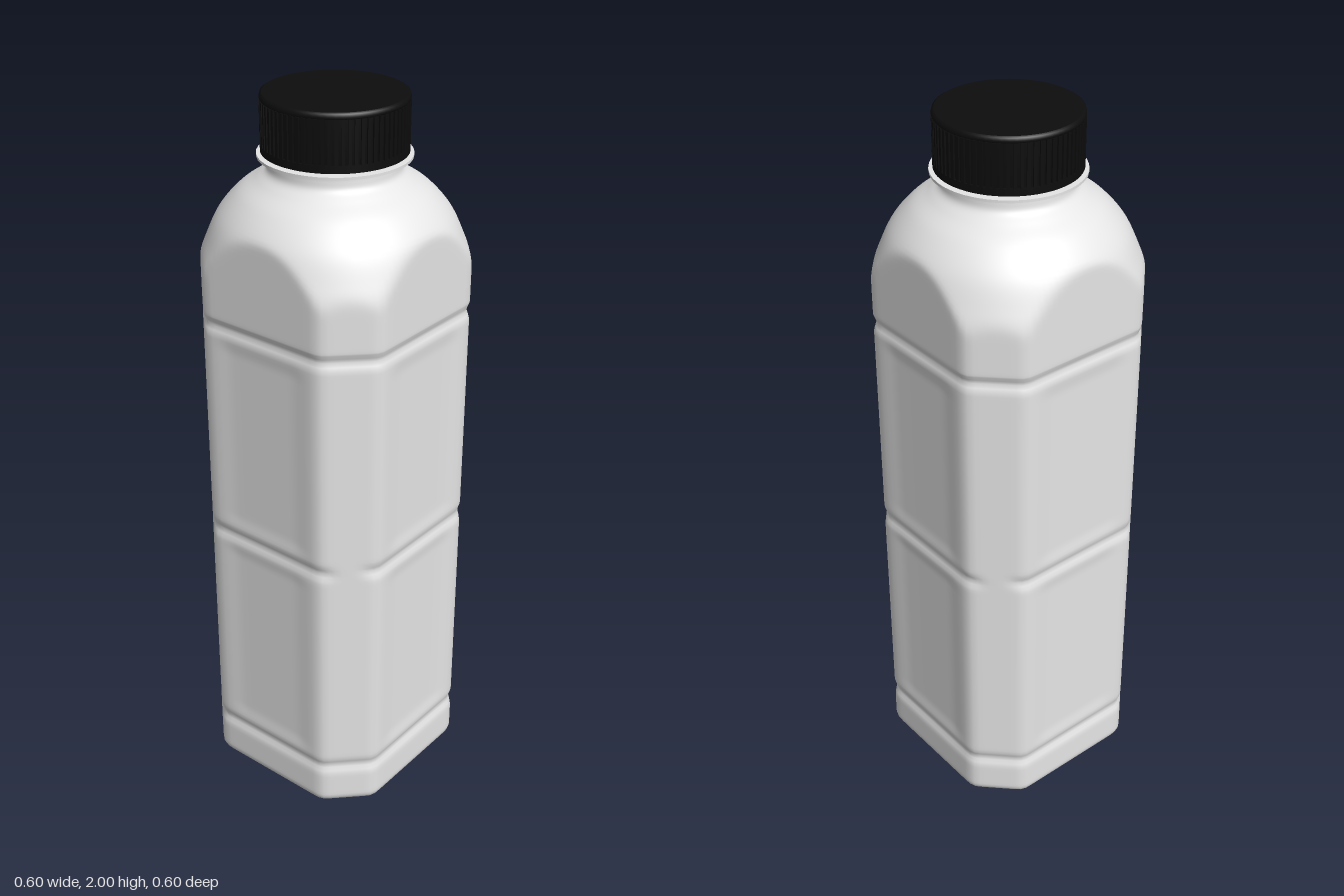
import * as THREE from 'three';

const bodyMat = new THREE.MeshStandardMaterial({ name: 'white plastic', color: 0xe6e6e6 });
const capMat = new THREE.MeshStandardMaterial({ name: 'black plastic', color: 0x0d0d0d });

const HALF = 0.299, CHAMFER = 0.346; // distance of flat and chamfer planes from the axis
const SEGS = 128;
const smooth = THREE.MathUtils.smoothstep;
const window_ = (y, lo, hi, soft) => smooth(y, lo, lo + soft) * (1 - smooth(y, hi - soft, hi));
const bump = (y, centre, width) => Math.exp(-(((y - centre) / width) ** 2));

// radius of the chamfered square at angle a, with softly rounded edges, limited by a round dome
function sectionRadius(a, dome) {
  let sum = 0;
  for (let k = 0; k < 8; k++) {
    const c = Math.cos(a - k * Math.PI / 4);
    if (c > 0) sum += (c * 0.3 / (k % 2 ? CHAMFER : HALF)) ** 70;
  }
  const oct = 0.3 * sum ** (-1 / 70);
  return 0.3 * ((0.3 / oct) ** 120 + (0.3 / dome) ** 120) ** (-1 / 120);
}

// grooves round the body and shallow label panels on the four flats
function inset(a, y, r) {
  const local = a - Math.round(a / (Math.PI / 2)) * Math.PI / 2;
  const across = Math.abs(r * Math.sin(local));
  const onFlat = 1 - smooth(across, 0.19, 0.23);
  const panel = 1 - smooth(across, 0.1, 0.165);
  const rows = window_(y, 0.16, 0.8, 0.06) + window_(y, 0.82, 1.42, 0.06);
  return 0.009 * (bump(y, 1.43, 0.013) + bump(y, 0.145, 0.016))
    + 0.009 * bump(y, 0.81, 0.016) * onFlat + 0.005 * panel * rows;
}

function bodyGeometry() {
  const rows = []; // [y, scale, dome radius]
  // hollow base, then the rounded foot
  for (const [y, s] of [[0.035, 0.001], [0.035, 0.3], [0.034, 0.5], [0.028, 0.56], [0.015, 0.64], [0.007, 0.72], [0.003, 0.8]])
    rows.push([y, s, 1]);
  for (let i = 0; i <= 8; i++) {
    const t = i / 8 * Math.PI / 2;
    rows.push([0.005 + 0.035 * (1 - Math.cos(t)), 0.9 + 0.1 * Math.sin(t), 1]);
  }
  // straight sides
  for (let i = 1; i <= 130; i++) rows.push([0.04 + 1.41 * i / 130, 1, 1]);
  // domed shoulder and neck
  const dome = new THREE.SplineCurve([[0.43, 1.45], [0.385, 1.5], [0.36, 1.55], [0.335, 1.615], [0.3, 1.69],
    [0.25, 1.748], [0.2, 1.783], [0.174, 1.803], [0.168, 1.825], [0.168, 1.845]].map(p => new THREE.Vector2(...p)));
  for (const p of dome.getPoints(60).slice(1)) rows.push([p.y, 1, p.x]);

  const pos = [], index = [];
  rows.forEach(([y, s, d], i) => {
    for (let j = 0; j < SEGS; j++) {
      const a = j / SEGS * Math.PI * 2;
      let r = sectionRadius(a, d);
      r = (r - inset(a, y, r)) * s;
      pos.push(r * Math.sin(a), y, r * Math.cos(a));
      if (i) {
        const k = (j + 1) % SEGS, lo = (i - 1) * SEGS, hi = i * SEGS;
        index.push(lo + j, lo + k, hi + j, lo + k, hi + k, hi + j);
      }
    }
  });
  const g = new THREE.BufferGeometry();
  g.setAttribute('position', new THREE.Float32BufferAttribute(pos, 3));
  g.setIndex(index);
  g.computeVertexNormals();
  return g;
}

function lathe(points) {
  return new THREE.LatheGeometry(points.map(p => new THREE.Vector2(...p)), 64);
}

export function createModel() {
  const group = new THREE.Group();
  const add = (name, geometry, material) => {
    const m = new THREE.Mesh(geometry, material);
    m.name = name;
    group.add(m);
    return m;
  };

  add('body', bodyGeometry(), bodyMat);

  // thin flange under the cap
  add('neckFlange', new THREE.CylinderGeometry(0.197, 0.197, 0.007, 40), bodyMat).position.y = 1.844;
  add('neckFinish', new THREE.CylinderGeometry(0.17, 0.17, 0.03, 48), bodyMat).position.y = 1.852;

  // cap: core, plain lower band and rounded top
  add('capCore', lathe([[0.16, 1.853], [0.182, 1.853], [0.182, 1.99]]), capMat);
  add('capBand', lathe([[0.18, 1.853], [0.187, 1.853], [0.187, 1.853], [0.187, 1.872], [0.187, 1.872], [0.18, 1.872]]), capMat);
  add('capTop', lathe([[0.18, 1.982], [0.186, 1.985], [0.187, 1.99], [0.185, 1.997], [0.18, 2], [0.18, 2], [0, 2]]), capMat);

  // grip ribs
  const COUNT = 72;
  const ribGeo = new THREE.BoxGeometry(0.009, 0.112, 0.008);
  const ribs = new THREE.Group();
  ribs.name = 'capRibs';
  for (let i = 0; i < COUNT; i++) {
    const a = i / COUNT * Math.PI * 2;
    const rib = new THREE.Mesh(ribGeo, capMat);
    rib.name = 'capRib';
    rib.position.set(0.183 * Math.sin(a), 1.928, 0.183 * Math.cos(a));
    rib.rotation.y = a;
    ribs.add(rib);
  }
  group.add(ribs);
  return group;
}
